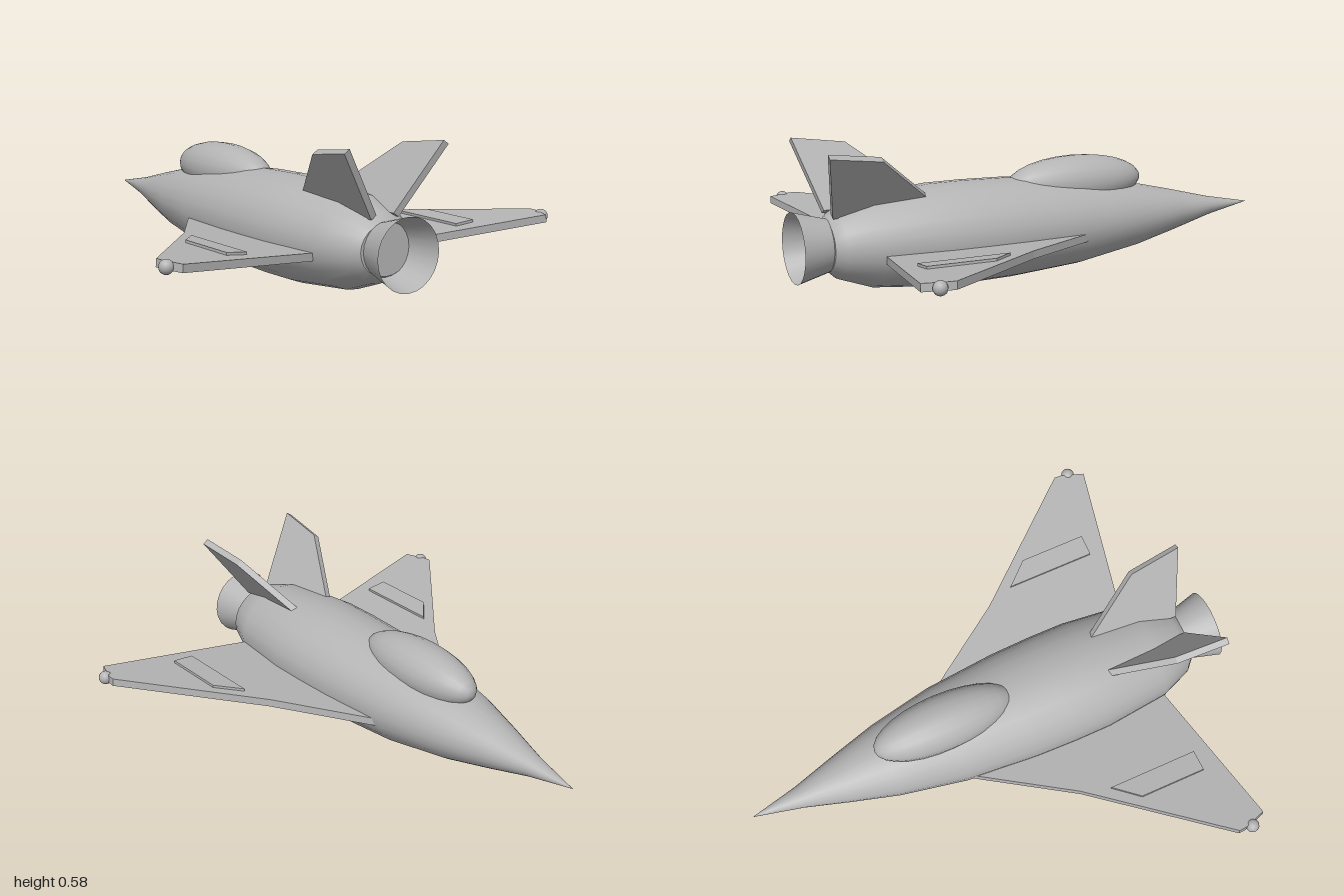
import * as THREE from 'three';

const hull = new THREE.MeshStandardMaterial({ color: 0xb4b4b4 });
hull.name = 'hull grey';
const thin = new THREE.MeshStandardMaterial({ color: 0xb4b4b4, side: THREE.DoubleSide });
thin.name = 'nozzle grey';

function add(parent, name, geometry, material = hull) {
  const mesh = new THREE.Mesh(geometry, material);
  mesh.name = name;
  parent.add(mesh);
  return mesh;
}

// Body of revolution along z from [z, radius] pairs
function turned(profile, segments) {
  const points = profile.map(([z, r]) => new THREE.Vector2(r, z));
  return new THREE.LatheGeometry(points, segments).rotateX(Math.PI / 2);
}

// Flat plate from an [x, z] outline, centred on y = 0, mirrored by side
function plate(outline, thickness, side) {
  const shape = new THREE.Shape(outline.map(([x, z]) => new THREE.Vector2(x * side, z)));
  return new THREE.ExtrudeGeometry(shape, { depth: thickness, bevelEnabled: false })
    .rotateX(Math.PI / 2).translate(0, thickness / 2, 0);
}

const AXIS = 0.202;
const FLATTEN = 0.85;

const wingOutline = [[0.13, -0.23], [0.21, -0.12], [0.44, 0.22], [0.852, 0.71],
  [0.85, 0.74], [0.82, 0.83], [0.13, 0.695]];
const flapOutline = [[0.48, 0.335], [0.565, 0.43], [0.565, 0.7], [0.48, 0.7]];
const finOutline = [[0, 0.43], [0.075, 0.51], [0.275, 0.72], [0.308, 0.93], [0, 0.865]];

export function createModel() {
  const model = new THREE.Group();
  model.name = 'jet';

  // Fuselage, slightly flattened, with the needle nose at -z
  const body = turned([[-1, 0], [-0.8, 0.046], [-0.62, 0.1], [-0.43, 0.153], [-0.16, 0.205],
    [0.13, 0.23], [0.3, 0.235], [0.45, 0.234], [0.71, 0.206], [0.84, 0.153], [0.875, 0.115]], 24);
  add(model, 'fuselage', body.scale(1, FLATTEN, 1)).position.y = AXIS;
  add(model, 'exhaustPlate', new THREE.CircleGeometry(0.115, 24).scale(1, FLATTEN, 1))
    .position.set(0, AXIS, 0.875);

  // Open flared exhaust nozzle
  add(model, 'nozzle', turned([[0.865, 0.1], [1, 0.137]], 24), thin).position.y = AXIS;

  // Canopy bubble
  const canopy = new THREE.SphereGeometry(1, 20, 14).rotateX(Math.PI / 2).scale(0.113, 0.105, 0.295);
  add(model, 'canopy', canopy).position.set(0, 0.359, -0.175);

  for (const side of [1, -1]) {
    const label = side > 0 ? 'left' : 'right';

    // Wing with slight dihedral, raised flap panel on top
    const wing = new THREE.Group();
    wing.name = label + 'Wing';
    wing.position.y = 0.152;
    wing.rotation.z = side * 0.087;
    add(wing, label + 'WingPanel', plate(wingOutline, 0.03, side));
    add(wing, label + 'Flap', plate(flapOutline, 0.014, side)).position.y = 0.018;
    model.add(wing);

    // Wingtip light
    add(model, label + 'TipLight', new THREE.SphereGeometry(0.027, 14, 10))
      .position.set(side * 0.845, 0.222, 0.77);

    // Outward-canted tail fin
    const fin = add(model, label + 'TailFin', plate(finOutline, 0.027, side));
    fin.position.set(side * 0.05, 0.32, 0);
    fin.rotation.z = side * 0.983;
  }
  return model;
}
